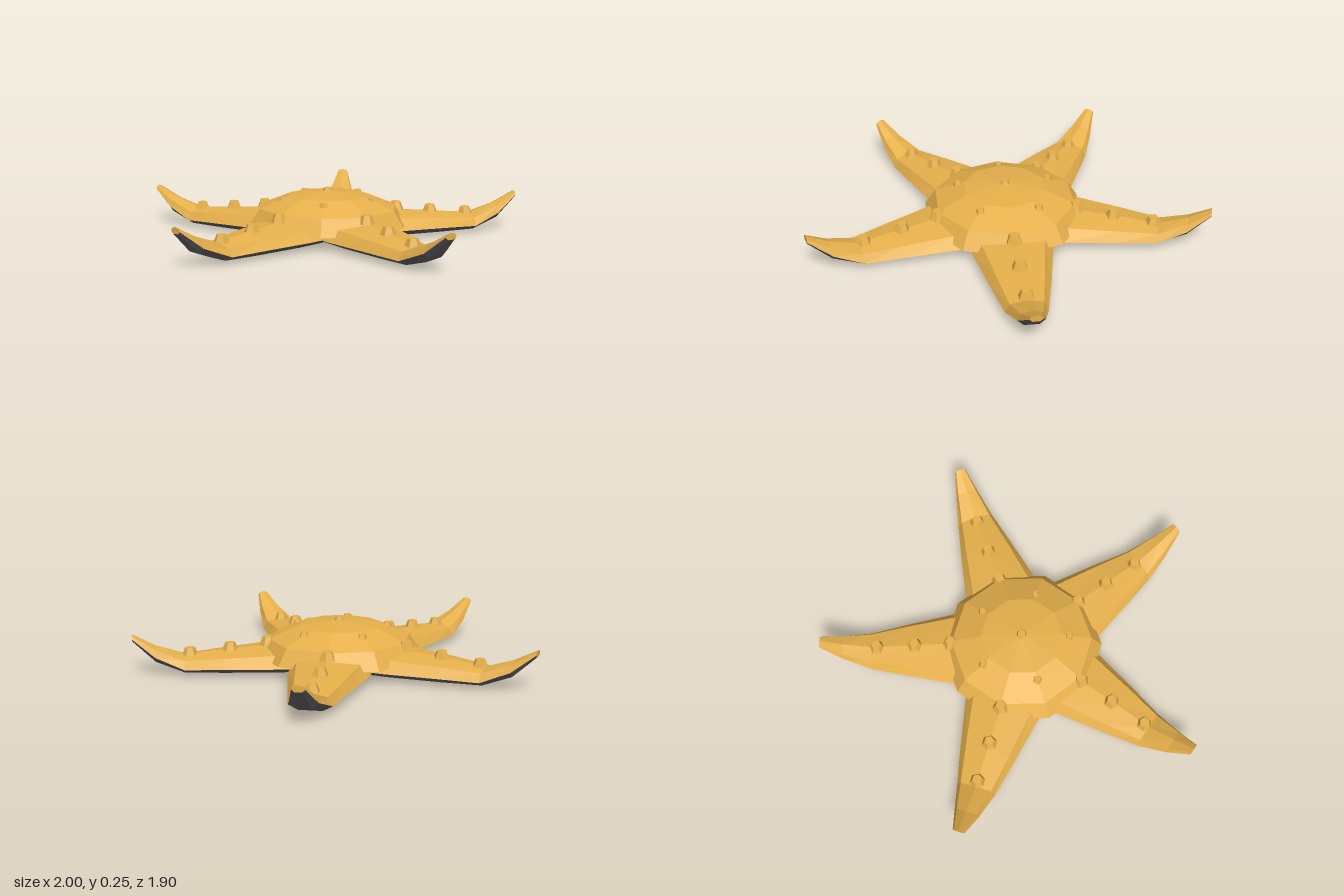
import * as THREE from 'three';

const gold = new THREE.MeshStandardMaterial({ color: 0xe6b04b, flatShading: true });
gold.name = 'sandy gold';
const dark = new THREE.MeshStandardMaterial({ color: 0x666368, flatShading: true });
dark.name = 'grey underside';

// Arm stations: distance from centre, half width, top, rim and bottom heights
const stations = [
  [0.00, 0.12, 0.130, 0.046, 0.004],
  [0.18, 0.21, 0.130, 0.046, 0.004],
  [0.34, 0.20, 0.125, 0.045, 0.005],
  [0.60, 0.145, 0.108, 0.040, 0.007],
  [0.79, 0.101, 0.092, 0.034, 0.011],
  [0.93, 0.064, 0.143, 0.093, 0.066],
  [1.04, 0.030, 0.202, 0.182, 0.170],
];

// Cross-sections, running counter-clockwise as seen from the tip
const upper = ([r, w, top, rim]) => {
  const shoulder = rim + (top - rim) * 0.72;
  return [[w, rim, r], [0.78 * w, shoulder, r], [0, top, r], [-0.78 * w, shoulder, r], [-w, rim, r]];
};
const lower = ([r, w, , rim, bottom]) =>
  [[-w, rim, r], [-0.55 * w, bottom, r], [0.55 * w, bottom, r], [w, rim, r]];

function toGeometry(triangles) {
  const geometry = new THREE.BufferGeometry();
  geometry.setAttribute('position', new THREE.Float32BufferAttribute(triangles.flat(2), 3));
  geometry.computeVertexNormals();
  return geometry;
}

function loft(section) {
  const rings = stations.map(section);
  const triangles = [];
  for (let i = 0; i < rings.length - 1; i++) {
    for (let j = 0; j < rings[i].length - 1; j++) {
      const a = rings[i][j], b = rings[i][j + 1];
      const c = rings[i + 1][j], d = rings[i + 1][j + 1];
      triangles.push([a, b, c], [b, d, c]);
    }
  }
  return toGeometry(triangles);
}

// Small end face closing the arm
function tipCap() {
  const last = stations[stations.length - 1];
  const ring = [...upper(last), ...lower(last).slice(1, -1)];
  const triangles = [];
  for (let i = 1; i < ring.length - 1; i++) triangles.push([ring[0], ring[i], ring[i + 1]]);
  return toGeometry(triangles);
}

function addMesh(parent, name, geometry, material, x = 0, y = 0, z = 0) {
  const mesh = new THREE.Mesh(geometry, material);
  mesh.name = name;
  mesh.position.set(x, y, z);
  parent.add(mesh);
  return mesh;
}

export function createModel() {
  const model = new THREE.Group();
  model.name = 'starfish';
  const body = new THREE.Group();
  body.name = 'body';
  body.position.z = -0.09;
  model.add(body);

  // Faceted central dome and its flat grey base
  const domeGeometry = new THREE.SphereGeometry(0.42, 10, 3, Math.PI / 2, Math.PI * 2, 0, Math.PI / 2);
  domeGeometry.scale(1, 0.17 / 0.42, 1);
  addMesh(body, 'dome', domeGeometry, gold, 0, 0.07, 0);
  const base = new THREE.CircleGeometry(0.42, 10, Math.PI / 2);
  base.rotateX(Math.PI / 2);
  addMesh(body, 'domeBase', base, dark, 0, 0.07, 0);

  // Mouth plate underneath
  addMesh(body, 'mouth', new THREE.CylinderGeometry(0.09, 0.065, 0.008, 5), dark, 0, 0.004, 0);

  const armTop = loft(upper), armUnderside = loft(lower), armTip = tipCap();
  const bump = new THREE.CylinderGeometry(0.025, 0.043, 0.045, 6);
  const smallBump = new THREE.CylinderGeometry(0.018, 0.03, 0.03, 5);
  addMesh(body, 'crownBump', new THREE.CylinderGeometry(0.02, 0.034, 0.03, 6), gold, 0, 0.24, 0);

  // Five arms with rows of bumps, and dome bumps between them
  for (let k = 0; k < 5; k++) {
    const arm = new THREE.Group();
    arm.name = `arm${k + 1}`;
    arm.rotation.y = k * Math.PI * 2 / 5;
    body.add(arm);
    addMesh(arm, 'armTop', armTop, gold);
    addMesh(arm, 'armUnderside', armUnderside, dark);
    addMesh(arm, 'armTip', armTip, gold);
    for (const [r, y] of [[0.37, 0.146], [0.56, 0.122], [0.76, 0.103]]) {
      addMesh(arm, 'armBump', bump, gold, 0, y, r);
    }
    const angle = (k + 0.5) * Math.PI * 2 / 5;
    const spot = addMesh(body, 'domeBump', smallBump, gold,
      0.245 * Math.sin(angle), 0.2, 0.245 * Math.cos(angle));
    spot.rotation.y = angle;
  }
  return model;
}
